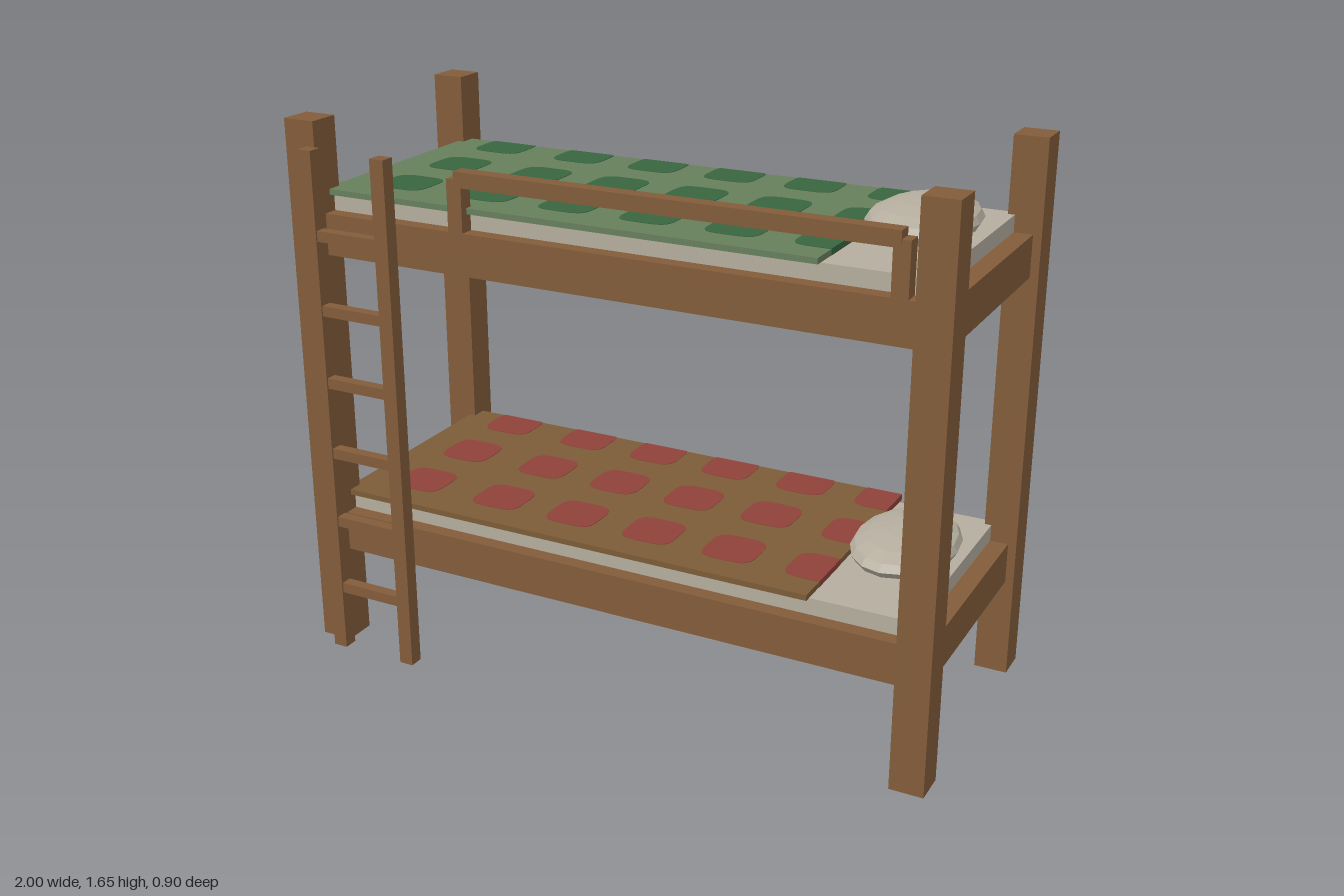
import * as THREE from 'three';

const mat = (name, color) => {
  const m = new THREE.MeshStandardMaterial({ color });
  m.name = name;
  return m;
};

export function createModel() {
  const wood = mat('brown wood', 0x825c3a);
  const linen = mat('off-white linen', 0xb5ae9f);
  const green = mat('sage green blanket', 0x677f5c);
  const darkGreen = mat('dark green patch', 0x39653f);
  const brown = mat('brown blanket', 0x7d5c38);
  const red = mat('red patch', 0x8f4239);

  const model = new THREE.Group();
  model.name = 'bunkBed';

  // Box given by its low and high corners
  const box = (parent, name, material, [x0, y0, z0], [x1, y1, z1]) => {
    const mesh = new THREE.Mesh(new THREE.BoxGeometry(x1 - x0, y1 - y0, z1 - z0), material);
    mesh.position.set((x0 + x1) / 2, (y0 + y1) / 2, (z0 + z1) / 2);
    mesh.name = name;
    parent.add(mesh);
    return mesh;
  };

  // Corner posts
  for (const x of [-1, 0.9])
    for (const z of [-0.45, 0.3])
      box(model, 'cornerPost', wood, [x, 0, z], [x + 0.1, 1.65, z + 0.1]);

  // Blanket outline
  const bx0 = -0.92, bx1 = 0.62, bz0 = -0.4, bz1 = 0.345;

  // Rounded square patch, cut off at the blanket edges
  const patchGeometry = (cx, cz) => {
    const points = [];
    for (let i = 0; i < 32; i++) {
      const a = (i / 32) * Math.PI * 2, c = Math.cos(a), s = Math.sin(a);
      const x = cx + 0.081 * Math.sign(c) * Math.sqrt(Math.abs(c));
      const z = cz + 0.079 * Math.sign(s) * Math.sqrt(Math.abs(s));
      const p = new THREE.Vector2(
        THREE.MathUtils.clamp(x, bx0 - 0.001, bx1 + 0.001),
        -THREE.MathUtils.clamp(z, bz0 - 0.001, bz1 + 0.001));
      if (!points.length || p.distanceTo(points[points.length - 1]) > 1e-4) points.push(p);
    }
    const g = new THREE.ExtrudeGeometry(new THREE.Shape(points.reverse()), { depth: 0.019, bevelEnabled: false });
    return g.rotateX(-Math.PI / 2);
  };

  // Faceted pillow
  const pillowGeometry = new THREE.SphereGeometry(1, 16, 8).scale(0.15, 0.054, 0.22).toNonIndexed();
  pillowGeometry.computeVertexNormals();

  // One bunk: frame, mattress, blanket with patches, pillow
  const bunk = (name, y, base, accent) => {
    const g = new THREE.Group();
    g.name = name;
    g.position.y = y;
    box(g, 'bedFrame', wood, [-0.975, 0, -0.43], [0.975, 0.124, 0.37]);
    box(g, 'mattress', linen, [-0.92, 0.12, -0.38], [0.92, 0.174, 0.325]);
    box(g, 'blanket', base, [bx0, 0.174, bz0], [bx1, 0.191, bz1]);
    for (const cx of [-0.735, -0.45, -0.19, 0.067, 0.325, 0.585])
      for (const cz of [-0.345, -0.085, 0.177]) {
        const patch = new THREE.Mesh(patchGeometry(cx, cz), accent);
        patch.position.y = 0.1735;
        patch.name = 'blanketPatch';
        g.add(patch);
      }
    const pillow = new THREE.Mesh(pillowGeometry, linen);
    pillow.position.set(0.77, 0.226, -0.025);
    pillow.name = 'pillow';
    g.add(pillow);
    model.add(g);
  };
  bunk('lowerBunk', 0.304, brown, red);
  bunk('upperBunk', 1.252, green, darkGreen);

  // Guard rail on the front of the upper bunk
  const guard = new THREE.Group();
  guard.name = 'guardRail';
  for (const x of [-0.477, 0.825])
    box(guard, 'guardPost', wood, [x, 1.37, 0.324], [x + 0.047, 1.527, 0.369]);
  box(guard, 'guardBar', wood, [-0.452, 1.505, 0.326], [0.847, 1.55, 0.371]);
  model.add(guard);

  // Ladder
  const ladder = new THREE.Group();
  ladder.name = 'ladder';
  for (const x of [-0.924, -0.675])
    box(ladder, 'ladderSide', wood, [x, 0, 0.403], [x + 0.045, 1.577, 0.447]);
  for (let i = 0; i < 6; i++) {
    const y = 0.19 + i * 0.2245;
    box(ladder, 'ladderRung', wood, [-0.89, y, 0.408], [-0.665, y + 0.032, 0.442]);
  }
  model.add(ladder);

  return model;
}
